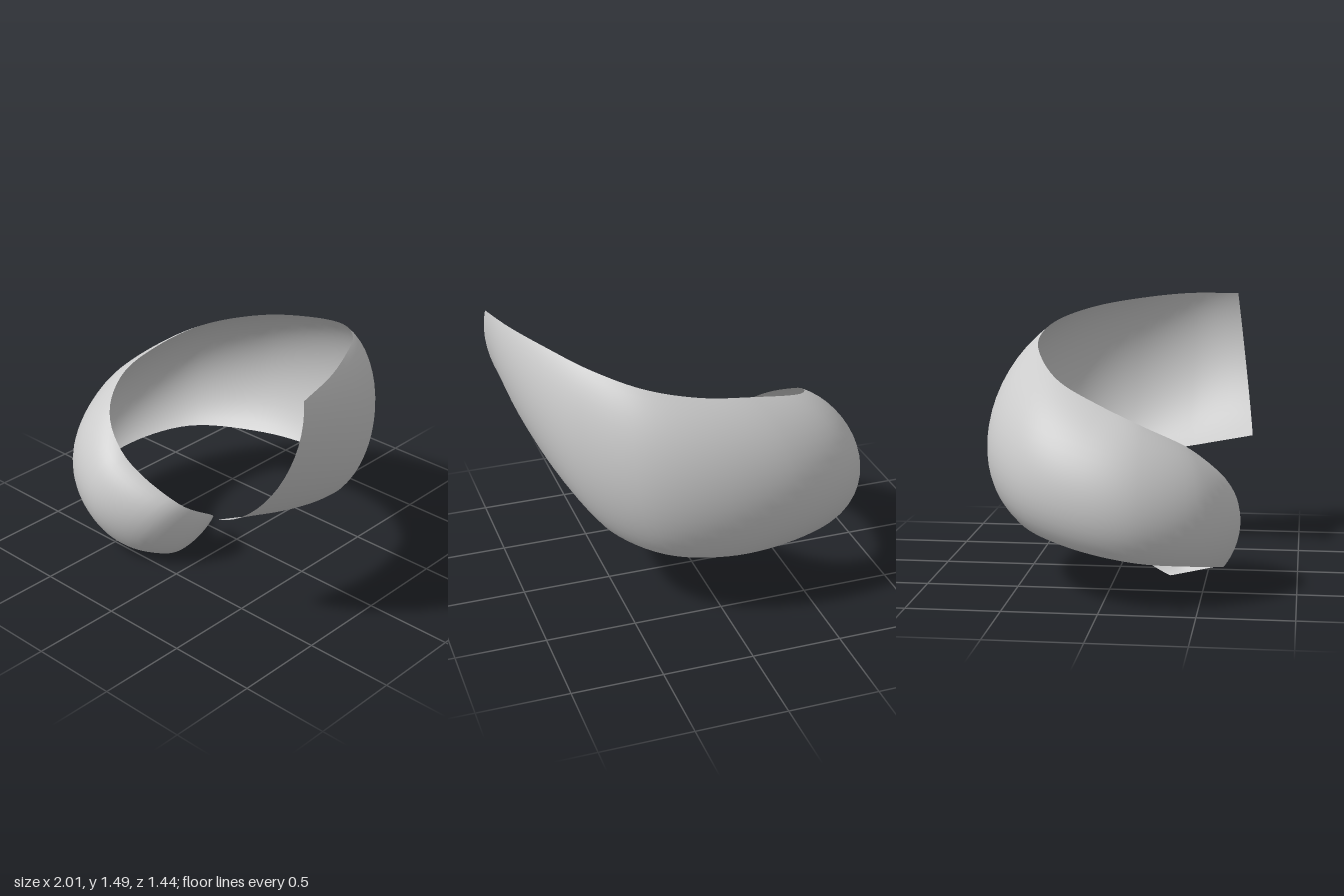
import * as THREE from 'three';
import { ParametricGeometry } from 'three/addons/geometries/ParametricGeometry.js';

// Each station across the band: upper edge, middle of the bulge, lower edge
const stations = [
  [[-0.13, 0.13, 0.07], [-0.14, 0.05, 0.19], [-0.17, 0.00, 0.30]],
  [[-0.01, 0.25, 0.20], [-0.03, 0.14, 0.35], [-0.16, 0.02, 0.40]],
  [[-0.03, 0.42, 0.44], [-0.12, 0.30, 0.59], [-0.27, 0.085, 0.57]],
  [[-0.34, 0.63, 0.535], [-0.43, 0.43, 0.69], [-0.48, 0.135, 0.605]],
  [[-0.58, 0.79, 0.43], [-0.78, 0.54, 0.53], [-0.77, 0.205, 0.48]],
  [[-0.70, 0.92, 0.20], [-0.965, 0.62, 0.20], [-0.92, 0.25, 0.20]],
  [[-0.66, 1.02, -0.03], [-0.95, 0.69, -0.12], [-0.90, 0.295, -0.08]],
  [[-0.52, 1.12, -0.26], [-0.79, 0.76, -0.425], [-0.73, 0.345, -0.36]],
  [[-0.20, 1.23, -0.42], [-0.41, 0.82, -0.66], [-0.36, 0.37, -0.55]],
  [[0.12, 1.30, -0.47], [0.04, 0.88, -0.71], [0.00, 0.39, -0.605]],
  [[0.40, 1.365, -0.41], [0.44, 0.92, -0.60], [0.33, 0.42, -0.52]],
  [[0.63, 1.425, -0.22], [0.72, 0.97, -0.32], [0.56, 0.475, -0.29]],
  [[0.80, 1.465, 0.05], [0.865, 1.00, 0.00], [0.635, 0.53, 0.00]],
  [[0.93, 1.485, 0.33], [0.925, 1.01, 0.34], [0.625, 0.59, 0.32]],
  [[1.00, 1.48, 0.605], [0.90, 0.99, 0.67], [0.54, 0.68, 0.72]],
];

export function createModel() {
  const group = new THREE.Group();
  group.name = 'spiralShell';

  // Three smooth rails running the length of the spiral
  const [upper, middle, lower] = [0, 1, 2].map(
    (i) => new THREE.CatmullRomCurve3(stations.map((s) => new THREE.Vector3(...s[i])))
  );

  // Arc through the three rails at every point of the sweep
  const halfAngle = 1.0;
  const top = new THREE.Vector3();
  const bulge = new THREE.Vector3();
  const bottom = new THREE.Vector3();
  const centre = new THREE.Vector3();
  const surface = (u, v, target) => {
    upper.getPoint(u, top);
    middle.getPoint(u, bulge);
    lower.getPoint(u, bottom);
    centre.addVectors(top, bottom).multiplyScalar(0.5);
    const angle = (1 - 2 * v) * halfAngle;
    const along = Math.sin(angle) / Math.sin(halfAngle);
    const out = (Math.cos(angle) - Math.cos(halfAngle)) / (1 - Math.cos(halfAngle));
    target.copy(centre)
      .addScaledVector(top.sub(centre), along)
      .addScaledVector(bulge.sub(centre), out);
  };

  // Thin curved band
  const band = new THREE.Mesh(
    new ParametricGeometry(surface, 84, 16),
    new THREE.MeshStandardMaterial({ color: 0xcccccc, side: THREE.DoubleSide })
  );
  band.name = 'spiralBand';
  group.add(band);
  return group;
}
